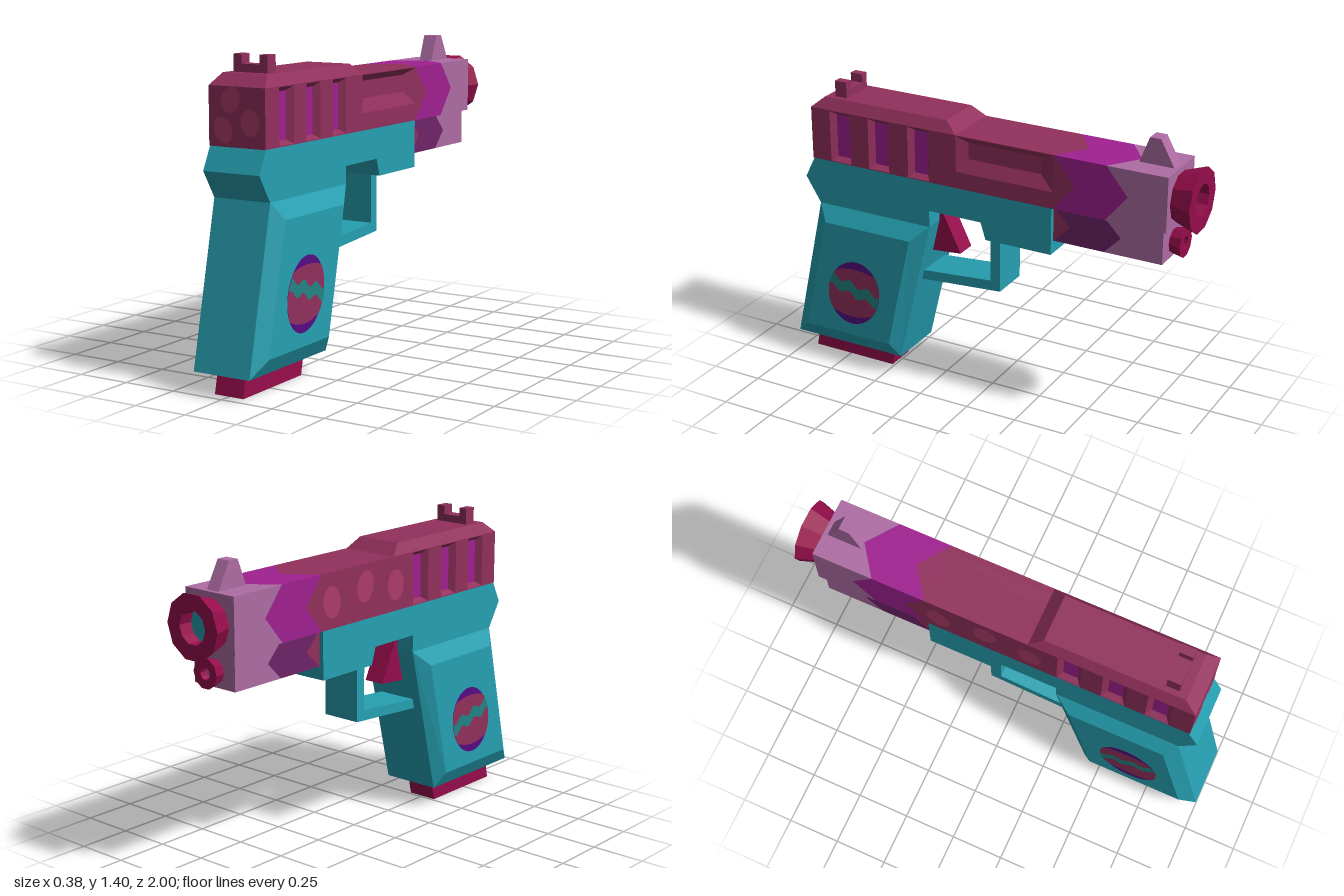
import * as THREE from 'three';

const mat = (name, color) => {
  const m = new THREE.MeshStandardMaterial({ color });
  m.name = name;
  return m;
};

export function createModel() {
  const teal = mat('teal', 0x26a0b2), berry = mat('berry', 0x92305c), crimson = mat('crimson', 0x960d4b);
  const magenta = mat('magenta', 0xa02090), mauve = mat('mauve', 0xae6ca4), plum = mat('plum', 0x6f2468);
  const rose = mat('rose', 0xae3c68), violet = mat('violet', 0x560c84), seaGreen = mat('sea green', 0x238484);
  const root = new THREE.Group();
  root.name = 'pistol';

  const add = (name, geo, material) => {
    const g = geo.index ? geo.toNonIndexed() : geo;
    g.computeVertexNormals();
    const m = new THREE.Mesh(g, material);
    m.name = name;
    root.add(m);
    return m;
  };

  // Side profile [z, y] extruded from x0 to x1
  const toShape = pts => new THREE.Shape(pts.map(p => new THREE.Vector2(...p)));
  const prism = (name, material, pts, x0, x1, holes = []) => {
    const shape = toShape(pts);
    shape.holes = holes.map(toShape);
    const g = new THREE.ExtrudeGeometry(shape, { depth: x1 - x0, bevelEnabled: false });
    return add(name, g.rotateY(-Math.PI / 2).translate(x1, 0, 0), material);
  };

  // Skin over rings of points, with optional end caps
  const loft = (name, material, rings, capStart, capEnd) => {
    const v = [], n = rings[0].length, tri = (...p) => p.forEach(q => v.push(...q));
    for (let r = 0; r + 1 < rings.length; r++) {
      const a = rings[r], b = rings[r + 1];
      for (let i = 0; i < n; i++) {
        const j = (i + 1) % n;
        tri(a[i], a[j], b[j]);
        tri(a[i], b[j], b[i]);
      }
    }
    const first = rings[0], last = rings[rings.length - 1];
    for (let i = 1; i + 1 < n; i++) {
      if (capStart) tri(first[0], first[i + 1], first[i]);
      if (capEnd) tri(last[0], last[i], last[i + 1]);
    }
    const g = new THREE.BufferGeometry();
    g.setAttribute('position', new THREE.Float32BufferAttribute(v, 3));
    return add(name, g, material);
  };

  // Thin painted plate [z, y] facing outward on side s
  const plate = (name, material, pts, s, x) => {
    const g = new THREE.ShapeGeometry(toShape(pts.map(([z, y]) => [-s * z, y])));
    return add(name, g.rotateY(s * Math.PI / 2).translate(s * x, 0, 0), material);
  };

  const rect = (z0, z1, y0, y1) => [[z1, y0], [z0, y0], [z0, y1], [z1, y1]];
  const atX = (pts, x) => pts.map(([z, y]) => [x, y, z]);

  // Slide: core, side panels with recesses, raised rear top
  const windows = [0.715, 0.51, 0.302];
  const windowRect = c => rect(c - 0.055, c + 0.055, 1.034, 1.276);
  const scoop = rect(-0.37, 0.11, 1.108, 1.276);
  const panel = rect(-0.37, 0.87, 1.03, 1.28);
  prism('slideCore', berry, panel, -0.11, 0.11);
  for (const s of [1, -1]) {
    const holes = windows.map(windowRect);
    if (s > 0) holes.push(scoop);
    prism('slideSide', berry, panel, s > 0 ? 0.11 : -0.14, s > 0 ? 0.14 : -0.11, holes);
    const recess = (name, outer, inner, floorMaterial) => {
      const rings = [atX(outer, s * 0.14), atX(inner, s * 0.112)];
      if (s < 0) rings.forEach(r => r.reverse());
      loft(name, berry, rings);
      loft(name + 'Floor', floorMaterial, [rings[1]], false, true);
    };
    windows.forEach(c => recess('slideWindow', windowRect(c), rect(c - 0.034, c + 0.034, 1.052, 1.256), magenta));
    if (s > 0) recess('ejectionScoop', scoop, rect(-0.3, 0.06, 1.168, 1.247), berry);
  }
  const roofRing = (x, z0, z1, y) => [[-x, y, z1], [x, y, z1], [x, y, z0], [-x, y, z0]];
  loft('slideRoof', berry, [roofRing(0.14, 0.11, 0.87, 1.28), roofRing(0.11, 0.17, 0.81, 1.33)], false, true);

  // Chevron colour bands of the slide nose and the lower rail
  const bandRing = (w, y0, y1, z, point) => {
    const m = (y0 + y1) / 2, t = z - point;
    return [[-w, y0, z], [0, y0, t], [w, y0, z], [w, m, t], [w, y1, z], [0, y1, t], [-w, y1, z], [-w, m, t]];
  };
  const bands = (name, w, y0, y1, point, zs, mats) => {
    const ring = (i, flat) => bandRing(w, y0, y1, zs[i], flat ? 0 : point);
    mats.forEach((m, i) => loft(name, m,
      [ring(i + 1, i === mats.length - 1), ring(i, i === 0)], i === mats.length - 1, false));
  };
  bands('slideNose', 0.14, 1.03, 1.28, 0.102, [-0.369, -0.371, -0.618, -0.9], [berry, magenta, mauve]);
  bands('lowerRail', 0.118, 0.87, 1.03, 0.078, [-0.364, -0.367, -0.608, -0.88], [berry, plum, mauve]);

  // Painted oval spots
  const oval = (cx, cy, rx, ry, tilt) => Array.from({ length: 24 }, (_, i) => {
    const a = i * Math.PI / 12, u = rx * Math.cos(a), v = ry * Math.sin(a);
    return [cx + u * Math.cos(tilt) - v * Math.sin(tilt), cy + u * Math.sin(tilt) + v * Math.cos(tilt)];
  });
  for (const [x, y, t] of [[-0.028, 1.225, -0.35], [-0.067, 1.1, 0.35], [0.067, 1.135, 0]]) {
    add('rearSpot', new THREE.ShapeGeometry(toShape(oval(x, y, 0.045, 0.056, t))).translate(0, 0, 0.874), rose);
  }
  for (const [z, y, t] of [[-0.31, 1.15, 0.2], [-0.09, 1.18, -0.2], [0.12, 1.15, 0.1]]) {
    plate('sideSpot', rose, oval(z, y, 0.055, 0.072, t), -1, 0.144);
  }

  // Sights
  prism('rearSightBase', berry, rect(0.71, 0.77, 1.33, 1.365), -0.085, 0.085);
  for (const x of [-0.085, 0.045]) prism('rearSightPost', berry, rect(0.71, 0.77, 1.365, 1.405), x, x + 0.04);
  prism('frontSight', mauve, [[-0.72, 1.28], [-0.765, 1.398], [-0.815, 1.398], [-0.88, 1.28]], -0.033, 0.033);

  // Frame, trigger guard, trigger and magazine
  prism('frame', teal, [[0.865, 1.03], [0.915, 0.93], [0.84, 0.81], [0.25, 0.81], [0.25, 0.89],
    [-0.015, 0.89], [-0.04, 0.81], [-0.365, 0.81], [-0.365, 1.03]], -0.14, 0.14);
  prism('triggerGuard', teal, [[-0.04, 0.81], [-0.09, 0.81], [-0.09, 0.545], [0.33, 0.515], [0.33, 0.56],
    [-0.04, 0.59]], -0.095, 0.095);
  prism('trigger', crimson, [[0.25, 0.89], [0.14, 0.665], [0.31, 0.65]], -0.05, 0.05);
  prism('magazine', crimson, [[0.92, 0.12], [0.947, 0], [0.512, 0], [0.485, 0.12]], -0.072, 0.072);

  // Grip with bevelled sides
  const gripOuter = [[1, 0.1], [0.42, 0.1], [0.25, 0.81], [0.84, 0.81]];
  const gripInner = [[0.92, 0.175], [0.46, 0.175], [0.335, 0.735], [0.79, 0.735]];
  loft('grip', teal, [atX(gripInner, -0.183), atX(gripOuter, -0.14), atX(gripOuter, 0.14),
    atX(gripInner, 0.183)], true, true);

  // Painted egg on each grip side: layered bands clipped to the egg outline
  const eggBand = (lo, hi) => {
    const top = [], bottom = [], N = 36;
    for (let i = 0; i <= N; i++) {
      const u = -Math.cos(Math.PI * i / N), e = 0.164 * Math.sqrt(Math.max(0, 1 - u * u));
      const place = v => [0.645 + 0.14 * u - 0.12 * v, 0.4 + v];
      const clip = v => Math.max(-e, Math.min(e, v));
      top.push(place(clip(hi(u))));
      if (i > 0 && i < N) bottom.push(place(clip(lo(u))));
    }
    return top.concat(bottom.reverse());
  };
  const wave = u => 0.018 + 0.035 * u + 0.013 * Math.sin(9 * u);
  for (const s of [1, -1]) {
    plate('eggShell', violet, eggBand(() => -1, () => 1), s, 0.185);
    plate('eggBody', berry, eggBand(u => -0.125 + 0.04 * u * u, u => 0.125 - 0.03 * u * u), s, 0.187);
    plate('eggStripe', seaGreen, eggBand(u => wave(u) - 0.028, u => wave(u) + 0.028), s, 0.189);
  }

  // Flared ten-sided muzzle and guide rod tip with recessed bores
  const flare = (name, y, z, r0, r1, bore, len, boreMat) => {
    const pts = [[r0, 0], [r1, len], [bore, len], [bore, len * 0.3]].map(p => new THREE.Vector2(...p));
    add(name, new THREE.LatheGeometry(pts, 10, Math.PI / 10).rotateX(-Math.PI / 2).translate(0, y, z), crimson);
    add(name + 'Bore', new THREE.CircleGeometry(bore * 1.05, 20).rotateY(Math.PI)
      .translate(0, y, z - len * 0.35), boreMat);
  };
  flare('muzzle', 1.147, -0.9, 0.112, 0.146, 0.075, 0.1, teal);
  flare('guideRod', 0.94, -0.88, 0.055, 0.068, 0.028, 0.055, mauve);

  return root;
}
